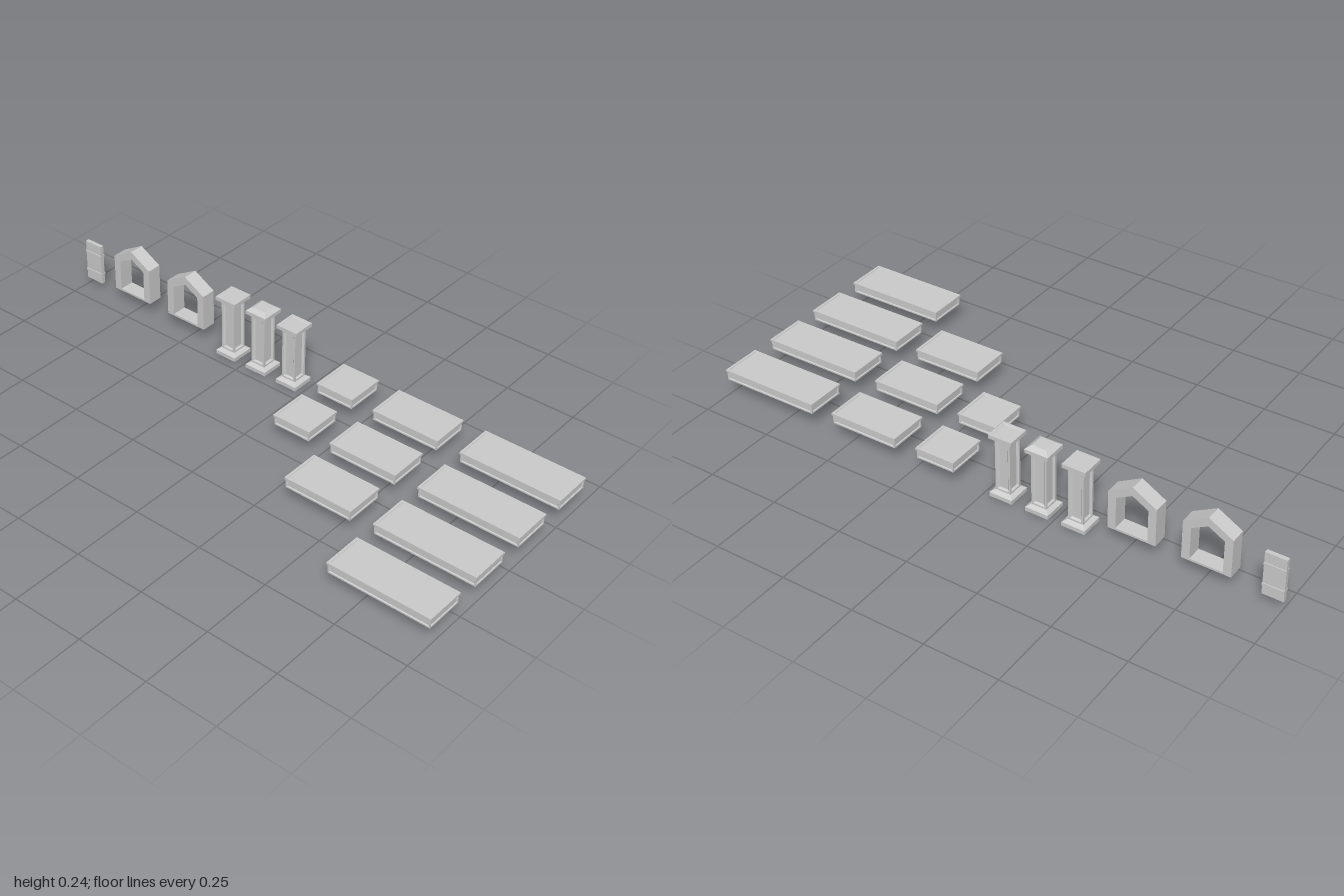
import * as THREE from 'three';
import { mergeGeometries } from 'three/addons/utils/BufferGeometryUtils.js';

const material = new THREE.MeshStandardMaterial({ color: 0xcccccc, flatShading: true });

// Stacked rectangles [halfX, halfZ, y] joined by quads, with optional end caps
function stack(loops, capStart = true, capEnd = true) {
  const pos = [];
  const ring = ([x, z, y]) => [[-x, y, z], [x, y, z], [x, y, -z], [-x, y, -z]];
  const quad = (a, b, c, d) => pos.push(...a, ...b, ...c, ...a, ...c, ...d);
  const rings = loops.map(ring);
  for (let i = 0; i + 1 < rings.length; i++) {
    for (let k = 0; k < 4; k++) {
      const n = (k + 1) % 4;
      quad(rings[i][k], rings[i][n], rings[i + 1][n], rings[i + 1][k]);
    }
  }
  const last = rings[rings.length - 1];
  if (capStart) quad(...rings[0].slice().reverse());
  if (capEnd) quad(...last);
  const geometry = new THREE.BufferGeometry();
  geometry.setAttribute('position', new THREE.Float32BufferAttribute(pos, 3));
  geometry.computeVertexNormals();
  return geometry;
}

// Four upright walls, each with a sunken panel
function panelledWalls(hx, hz, y0, y1, border, bevel, depth) {
  const h = (y1 - y0) / 2;
  const walls = [];
  for (let k = 0; k < 4; k++) {
    const w = k % 2 ? hz : hx;
    const distance = k % 2 ? hx : hz;
    const inner = border + bevel;
    const face = stack([[w, h, 0], [w - border, h - border, 0], [w - inner, h - inner, -depth]], false);
    face.rotateX(Math.PI / 2).translate(0, (y0 + y1) / 2, distance).rotateY(k * Math.PI / 2);
    walls.push(face);
  }
  return mergeGeometries(walls);
}

function add(parent, name, geometry) {
  const mesh = new THREE.Mesh(geometry, material);
  mesh.name = name;
  parent.add(mesh);
  return mesh;
}

function part(parent, name, x, z) {
  const group = new THREE.Group();
  group.name = name;
  group.position.set(x, 0, z);
  parent.add(group);
  return group;
}

// Slab with panelled sides, overhanging lip and shallow sunken top
function addSlab(parent, x, z, width, depth) {
  const slab = part(parent, 'slab', x, z);
  const hx = width / 2, hz = depth / 2, over = 0.003;
  add(slab, 'slabSides', panelledWalls(hx - over, hz - over, 0.06, 0.09, 0.005, 0.002, 0.003));
  add(slab, 'slabUnderside', stack([[hx - over, hz - over, 0.06]], true, false));
  add(slab, 'slabLip', stack([
    [hx - over, hz - over, 0.089], [hx, hz, 0.091], [hx, hz, 0.098],
    [hx - 0.007, hz - 0.007, 0.098], [hx - 0.009, hz - 0.009, 0.094],
  ]));
}

// Square pillar; the top is flat, raised or sunken
function addPillar(parent, x, z, top) {
  const pillar = part(parent, 'pillar', x, z);
  const r = 0.041, s = 0.027;
  const tops = {
    flat: [],
    raised: [[0.025, 0.025, 0.24]],
    sunken: [[0.034, 0.034, 0.228], [0.031, 0.031, 0.224]],
  };
  add(pillar, 'pillarBase', stack([[r, r, 0], [r, r, 0.014], [s, s, 0.023]]));
  add(pillar, 'pillarShaft', panelledWalls(s, s, 0.022, 0.206, 0.007, 0.005, 0.006));
  add(pillar, 'pillarCapital', stack([[s, s, 0.205], [r, r, 0.215], [r, r, 0.228], ...tops[top]]));
}

// Pointed outline, drawn anticlockwise from the lower left corner
function gable(target, half, bottom, eave, peak) {
  target.moveTo(-half, bottom);
  target.lineTo(half, bottom);
  target.lineTo(half, eave);
  target.lineTo(0, peak);
  target.lineTo(-half, eave);
  target.closePath();
  return target;
}

function addWindow(parent, x, z) {
  const frame = part(parent, 'windowFrame', x, z);
  const shape = gable(new THREE.Shape(), 0.081, 0.055, 0.187, 0.233);
  shape.holes.push(gable(new THREE.Path(), 0.054, 0.062, 0.173, 0.203));
  const depth = 0.053;
  const geometry = new THREE.ExtrudeGeometry(shape, { depth, bevelEnabled: false });
  add(frame, 'pointedSurround', geometry.translate(0, 0, -depth / 2));
}

// Plank door with two raised bands
function addDoor(parent, x, z) {
  const door = part(parent, 'door', x, z);
  add(door, 'doorPanel', new THREE.BoxGeometry(0.07, 0.15, 0.014)).position.y = 0.101;
  for (const y of [0.062, 0.136]) {
    add(door, 'doorBand', new THREE.BoxGeometry(0.071, 0.009, 0.021)).position.y = y;
  }
}

export function createModel() {
  const model = new THREE.Group();
  model.name = 'buildingKit';

  addDoor(model, -0.9645, -0.326);
  for (const x of [-0.761, -0.514]) addWindow(model, x, -0.326);
  ['flat', 'raised', 'sunken'].forEach((top, i) => addPillar(model, -0.322 + i * 0.13, -0.324, top));

  // Slabs in three lengths, laid out in rows
  const rows = [-0.328, -0.109, 0.11, 0.329];
  const sizes = [
    { x: 0.158, width: 0.143, count: 2 },
    { x: 0.434, width: 0.249, count: 3 },
    { x: 0.82, width: 0.36, count: 4 },
  ];
  for (const { x, width, count } of sizes) {
    for (let i = 0; i < count; i++) addSlab(model, x, rows[i], width, 0.142);
  }
  return model;
}
